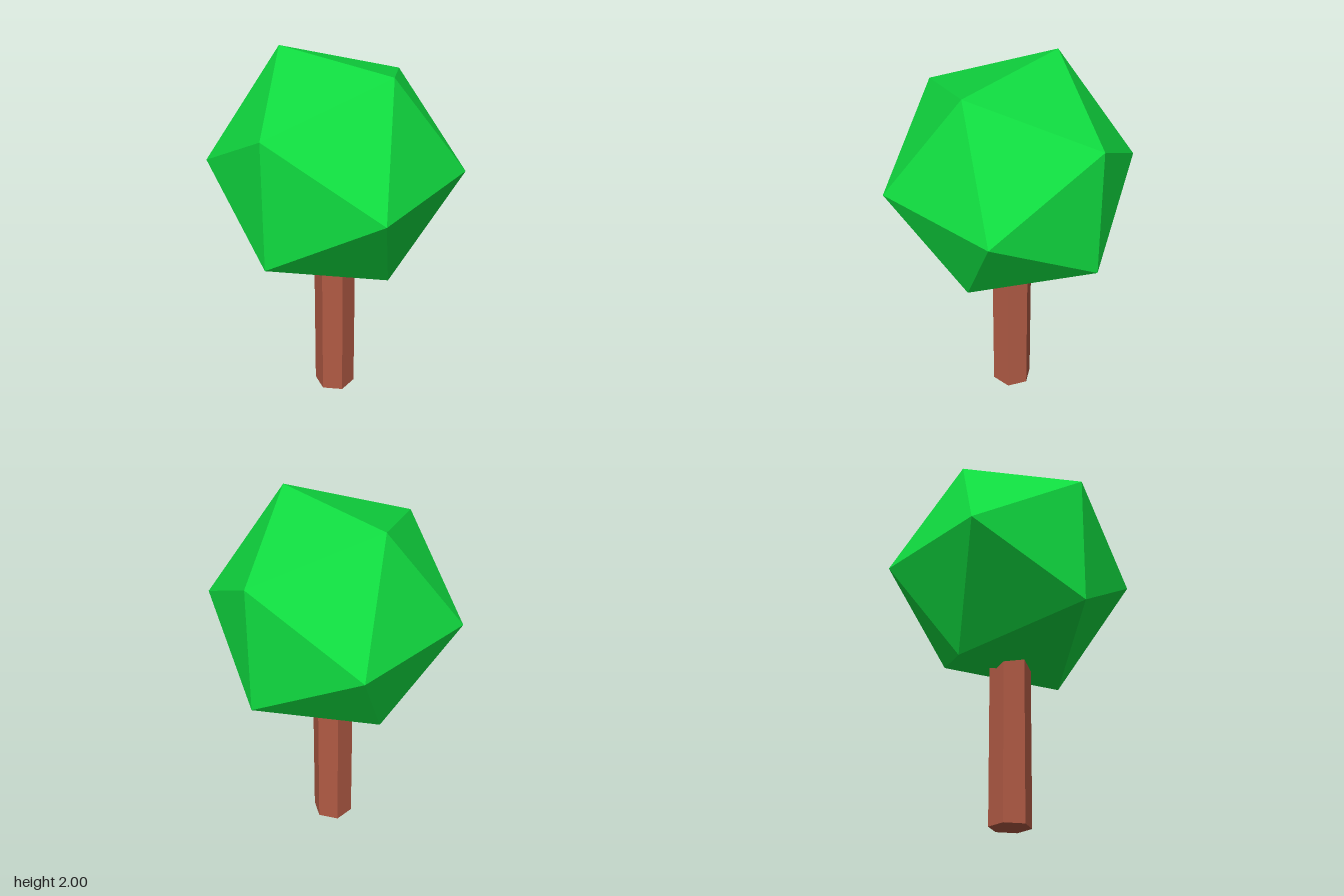
import * as THREE from 'three';

export function createModel() {
  const group = new THREE.Group();
  group.name = 'tree';

  const bark = new THREE.MeshStandardMaterial({ color: 0xb05a44, flatShading: true });
  bark.name = 'bark brown';
  const leaf = new THREE.MeshStandardMaterial({ color: 0x10dc40, flatShading: true });
  leaf.name = 'leaf green';

  // Hexagonal trunk, corners on the x axis, top hidden inside the foliage
  const trunkHeight = 1.0;
  const trunk = new THREE.Mesh(new THREE.CylinderGeometry(0.113, 0.113, trunkHeight, 6), bark);
  trunk.name = 'trunk';
  trunk.rotation.y = Math.PI / 2;
  trunk.position.y = trunkHeight / 2;
  group.add(trunk);

  // Foliage: an icosahedron with its top and bottom edges running along z
  const foliage = new THREE.Mesh(new THREE.IcosahedronGeometry(0.679, 0), leaf);
  foliage.name = 'foliage';
  foliage.rotation.y = Math.PI / 2;
  foliage.position.y = 1.4225;
  group.add(foliage);

  return group;
}
